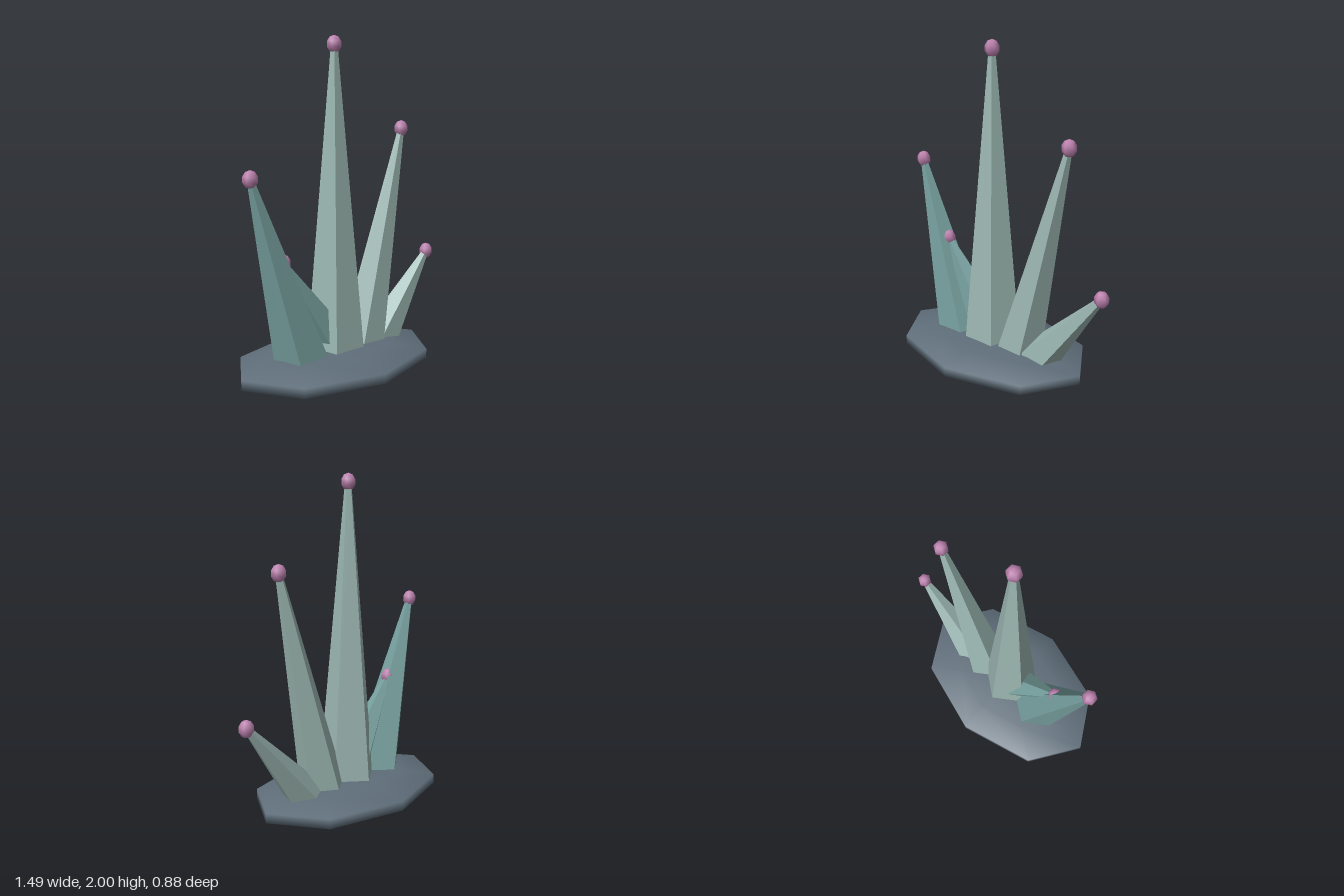
import * as THREE from 'three';

const slate = new THREE.MeshStandardMaterial({ color: 0x5f6e7a });
const pink = new THREE.MeshStandardMaterial({ color: 0xbb80ad });
const paleGreen = new THREE.MeshStandardMaterial({ color: 0x9bb6b1, flatShading: true });
const teal = new THREE.MeshStandardMaterial({ color: 0x769f9e, flatShading: true });

const ROOT_Y = 0.1; // spikes are rooted inside the plate

// Five-sided tapering spike with a small bead on its tip
function makeSpike(name, rootX, rootRadius, tipX, tipY, material) {
  const spike = new THREE.Group();
  spike.name = name;

  const dx = tipX - rootX;
  const dy = tipY - ROOT_Y;
  const length = Math.hypot(dx, dy);
  const shaftGeometry = new THREE.CylinderGeometry(0.02, rootRadius, length, 5, 1, false, Math.PI);
  shaftGeometry.translate(0, length / 2, 0);
  const shaft = new THREE.Mesh(shaftGeometry, material);
  shaft.name = name + 'Shaft';
  shaft.position.set(rootX, ROOT_Y, 0);
  shaft.rotation.z = -Math.atan2(dx, dy);

  const beadGeometry = new THREE.SphereGeometry(1, 6, 5);
  beadGeometry.rotateY(Math.PI / 6);
  beadGeometry.scale(0.044, 0.051, 0.044);
  const bead = new THREE.Mesh(beadGeometry, pink);
  bead.name = name + 'Bead';
  bead.position.set(tipX, tipY, 0);

  spike.add(shaft, bead);
  return spike;
}

export function createModel() {
  const model = new THREE.Group();
  model.name = 'spikeCluster';

  // Flattened eight-sided plate
  const plateGeometry = new THREE.SphereGeometry(1, 8, 5);
  plateGeometry.scale(0.7, 0.093, 0.465);
  const plate = new THREE.Mesh(plateGeometry, slate);
  plate.name = 'basePlate';
  plate.position.set(-0.083, 0.095, 0);
  model.add(plate);

  // Spikes: name, root x, root radius, tip x, tip y, material
  const spikes = [
    ['centreSpike', -0.083, 0.184, -0.083, 1.947, paleGreen],
    ['tallLeftSpike', 0.12, 0.146, 0.46, 1.457, paleGreen],
    ['shortLeftSpike', 0.247, 0.128, 0.705, 0.645, paleGreen],
    ['tallRightSpike', -0.322, 0.17, -0.665, 1.22, teal],
    ['shortRightSpike', -0.03, 0.15, -0.457, 0.735, teal],
  ];
  for (const spec of spikes) model.add(makeSpike(...spec));

  return model;
}
